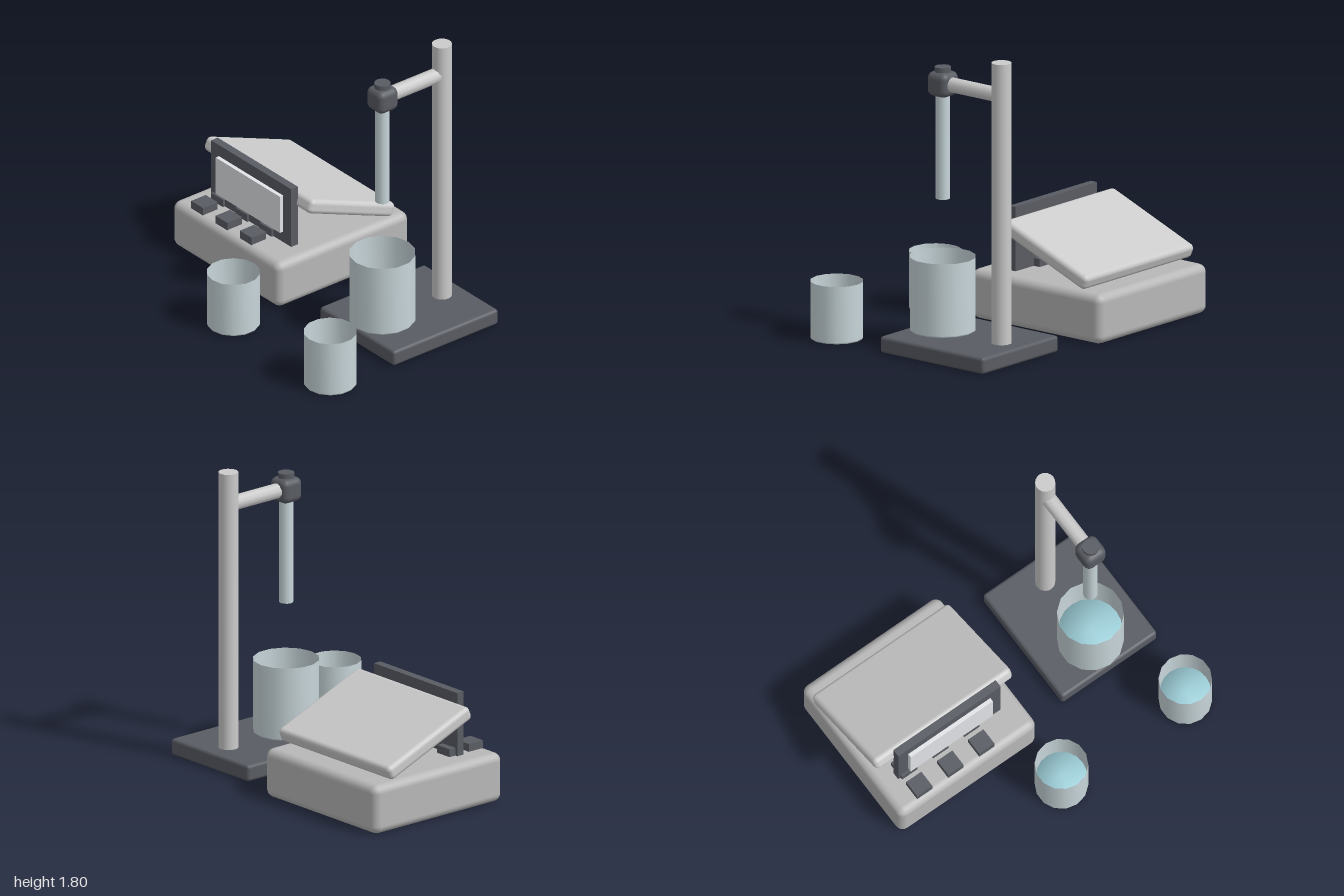
import * as THREE from 'three';
import { RoundedBoxGeometry } from 'three/addons/geometries/RoundedBoxGeometry.js';

const mat = (color, side = THREE.FrontSide) => new THREE.MeshStandardMaterial({ color, side });

export function createModel() {
  const model = new THREE.Group();
  model.name = 'labMeter';
  const grey = mat(0xcccccc);
  const casing = mat(0xb8b8b8);
  const dark = mat(0x595c63);
  const pale = mat(0xe2e4e8);
  const glass = mat(0xc8d6da, THREE.DoubleSide);
  const water = mat(0x9fd0da);

  const add = (name, geometry, material, x, y, z, parent = model) => {
    const mesh = new THREE.Mesh(geometry, material);
    mesh.name = name;
    mesh.position.set(x, y, z);
    parent.add(mesh);
    return mesh;
  };
  // Box given by its limits, rounded when a radius is passed
  const box = (name, material, [x0, x1], [y0, y1], [z0, z1], radius = 0, parent = model) => {
    const size = [x1 - x0, y1 - y0, z1 - z0];
    const geometry = radius ? new RoundedBoxGeometry(...size, 3, radius) : new THREE.BoxGeometry(...size);
    return add(name, geometry, material, (x0 + x1) / 2, (y0 + y1) / 2, (z0 + z1) / 2, parent);
  };
  const rod = (name, material, r, y0, y1, x, z, sides) =>
    add(name, new THREE.CylinderGeometry(r, r, y1 - y0, sides), material, x, (y0 + y1) / 2, z);

  // Meter: casing, tilted lid, display
  box('meterBody', casing, [-1, -0.005], [0, 0.3], [-0.73, 0.27], 0.05);
  const lid = add('tiltedLid', new RoundedBoxGeometry(0.995, 0.09, 0.685, 3, 0.03), grey, -0.5025, 0.477, -0.297);
  lid.rotation.x = -0.38;
  box('displayPanel', dark, [-0.872, -0.13], [0.3, 0.69], [0.02, 0.07]);
  box('displayScreen', pale, [-0.8, -0.205], [0.37, 0.615], [0.06, 0.095]);

  // Two rows of three buttons
  const buttons = new THREE.Group();
  buttons.name = 'buttons';
  model.add(buttons);
  for (const z of [0.03, 0.18])
    for (const x of [-0.8, -0.575, -0.35])
      box('button', dark, [x - 0.055, x + 0.055], [0.29, 0.348], [z - 0.055, z + 0.055], 0, buttons);

  // Electrode stand
  const cx = 0.593, cz = -0.03, poleZ = -0.48;
  box('standBase', dark, [0.247, 0.938], [0, 0.1], [-0.63, 0.165], 0.02);
  rod('standPole', grey, 0.059, 0.09, 1.8, cx, poleZ, 20);
  const arm = add('standArm', new THREE.CylinderGeometry(0.046, 0.046, cz - poleZ, 10), grey, cx, 1.6, (cz + poleZ) / 2);
  arm.rotation.x = Math.PI / 2;
  add('clamp', new RoundedBoxGeometry(0.148, 0.148, 0.148, 3, 0.04), dark, cx, 1.598, cz);
  rod('electrodeCap', dark, 0.049, 1.6, 1.7, cx, cz, 12);
  rod('electrode', glass, 0.043, 0.9, 1.6, cx, cz, 12);

  // Open beakers with liquid inside
  const beaker = (x, y, z, r, h) => {
    const group = new THREE.Group();
    group.name = 'beaker';
    group.position.set(x, y, z);
    model.add(group);
    const wall = [[0, 0.002], [r * 0.97, 0.002], [r, 0.012], [r, h]];
    add('beakerGlass', new THREE.LatheGeometry(wall.map(p => new THREE.Vector2(...p)), 14), glass, 0, 0, 0, group);
    const level = h * 0.42, rl = r * 0.95;
    const fill = [[0, 0.012], [rl, 0.012], [rl, level], [0, level]];
    add('liquid', new THREE.LatheGeometry(fill.map(p => new THREE.Vector2(...p)), 20), water, 0, 0, 0, group);
  };
  beaker(cx, 0.1, cz, 0.197, 0.45);
  for (const x of [-0.053, 0.845]) beaker(x, 0, 0.57, 0.158, 0.35);

  return model;
}
